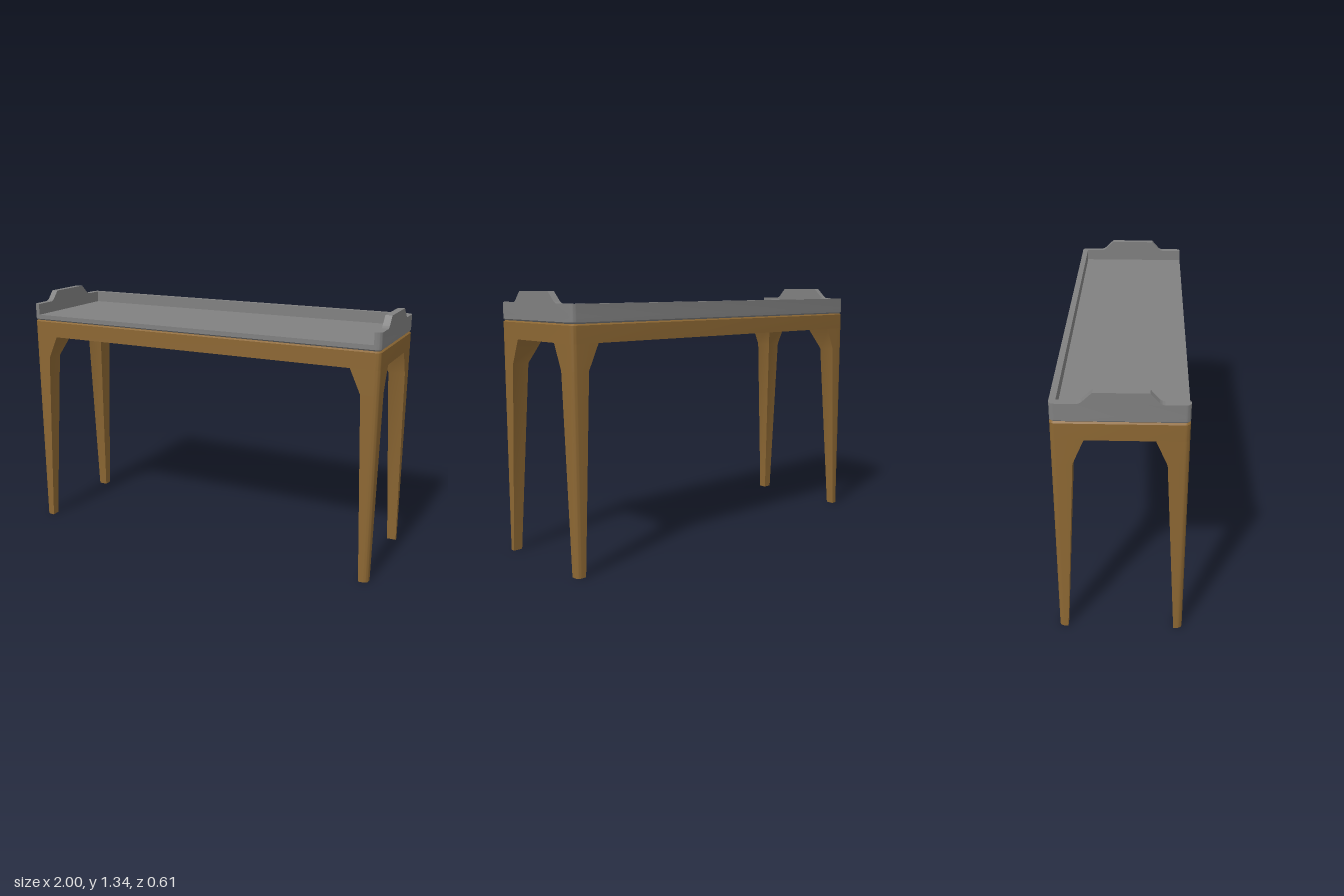
import * as THREE from 'three';
import { toCreasedNormals } from 'three/addons/utils/BufferGeometryUtils.js';

const HX = 1, HZ = 0.305, R = 0.025, WALL = 0.035;
const FLOOR = 1.22, RIM = 1.28, CREST = 1.335;

// Skins convex rings [x, z] stacked at given heights; rings run counterclockwise from above
function loft(levels) {
  const pos = [];
  const tri = (...pts) => pts.forEach((p) => pos.push(...p));
  const rings = levels.map(({ y, ring }) => ring.map(([x, z]) => [x, y, z]));
  const n = rings[0].length;
  for (let k = 0; k < rings.length - 1; k++) {
    const l = rings[k], u = rings[k + 1];
    for (let i = 0; i < n; i++) {
      const j = (i + 1) % n;
      tri(l[i], l[j], u[j]);
      tri(l[i], u[j], u[i]);
    }
  }
  const bottom = rings[0], top = rings[rings.length - 1];
  for (let i = 1; i < n - 1; i++) {
    tri(bottom[0], bottom[i + 1], bottom[i]);
    tri(top[0], top[i], top[i + 1]);
  }
  const g = new THREE.BufferGeometry();
  g.setAttribute('position', new THREE.Float32BufferAttribute(pos, 3));
  return toCreasedNormals(g, 0.6);
}

// Quarter-circle points about a centre, starting at angle a
function arc(cx, cz, r, a, steps = 6) {
  return Array.from({ length: steps + 1 }, (_, i) => {
    const t = a + (i / steps) * Math.PI / 2;
    return [cx + r * Math.cos(t), cz - r * Math.sin(t)];
  });
}

// Rounded rectangle in plan, inset from the outer size
function plan(inset) {
  const x = HX - R, z = HZ - R, r = R - inset;
  return [
    ...arc(x, -z, r, 0), ...arc(-x, -z, r, Math.PI / 2),
    ...arc(-x, z, r, Math.PI), ...arc(x, z, r, Math.PI * 1.5),
  ];
}

// Leg cross-section from the rounded outer corner to the inner corner (xi, zi)
function legRing(xi, zi, sx, sz) {
  const ring = [[xi, zi], [xi, HZ], ...arc(HX - R, HZ - R, R, Math.PI * 1.5), [HX, zi]]
    .map(([x, z]) => [x * sx, z * sz]);
  return sx * sz < 0 ? ring.reverse() : ring;
}

export function createModel() {
  const model = new THREE.Group();
  const wood = new THREE.MeshStandardMaterial({ color: 0x8c6733 });
  wood.name = 'wood';
  const grey = new THREE.MeshStandardMaterial({ color: 0x808080 });
  grey.name = 'grey';

  const add = (name, geometry, material) => {
    const mesh = new THREE.Mesh(geometry, material);
    mesh.name = name;
    model.add(mesh);
    return mesh;
  };

  // Apron slab with a bevelled top edge
  add('apron', loft([
    { y: 1.10, ring: plan(0) },
    { y: 1.183, ring: plan(0) },
    { y: 1.19, ring: plan(0.008) },
  ]), wood);

  // Tapered legs flaring into the apron
  for (const sx of [1, -1]) {
    for (const sz of [1, -1]) {
      add(`${sz > 0 ? 'front' : 'back'}${sx > 0 ? 'Left' : 'Right'}Leg`, loft([
        { y: 0, ring: legRing(0.952, 0.262, sx, sz) },
        { y: 0.975, ring: legRing(0.912, 0.21, sx, sz) },
        { y: 1.10, ring: legRing(0.855, 0.157, sx, sz) },
      ]), wood);
    }
  }

  // Tray floor, bevelled underneath
  add('trayFloor', loft([
    { y: 1.19, ring: plan(0.008) },
    { y: 1.197, ring: plan(0) },
    { y: FLOOR, ring: plan(0) },
  ]), grey);

  // U-shaped tray rim, open at the front
  const xi = HX - WALL;
  const outline = [
    ...plan(0),
    // front edges of the two end walls are joined through the inner outline
  ].map(([x, z]) => new THREE.Vector2(x, -z));
  const n = outline.length / 4;
  const rimShape = new THREE.Shape([
    ...outline.slice(3 * n),
    ...outline.slice(0, 3 * n),
    new THREE.Vector2(-xi, -HZ),
    new THREE.Vector2(-xi, HZ - 0.03),
    new THREE.Vector2(xi, HZ - 0.03),
    new THREE.Vector2(xi, -HZ),
  ]);
  const rim = new THREE.ExtrudeGeometry(rimShape, { depth: RIM - FLOOR, bevelEnabled: false });
  rim.rotateX(-Math.PI / 2).translate(0, FLOOR, 0);
  add('trayRim', toCreasedNormals(rim, 0.6), grey);

  // Raised crests on the end walls, with small fillets at the foot
  const crestShape = new THREE.Shape();
  crestShape.moveTo(-0.19, RIM);
  crestShape.lineTo(0.195, RIM);
  crestShape.quadraticCurveTo(0.18, RIM, 0.168, RIM + 0.012);
  crestShape.lineTo(0.13, CREST);
  crestShape.lineTo(-0.115, CREST);
  crestShape.lineTo(-0.16, RIM + 0.012);
  crestShape.quadraticCurveTo(-0.172, RIM, -0.19, RIM);
  const crest = toCreasedNormals(
    new THREE.ExtrudeGeometry(crestShape, { depth: WALL, bevelEnabled: false, curveSegments: 5 })
      .rotateY(-Math.PI / 2), 0.5);
  add('leftCrest', crest, grey).position.x = HX;
  add('rightCrest', crest, grey).position.x = -HX + WALL;

  return model;
}
